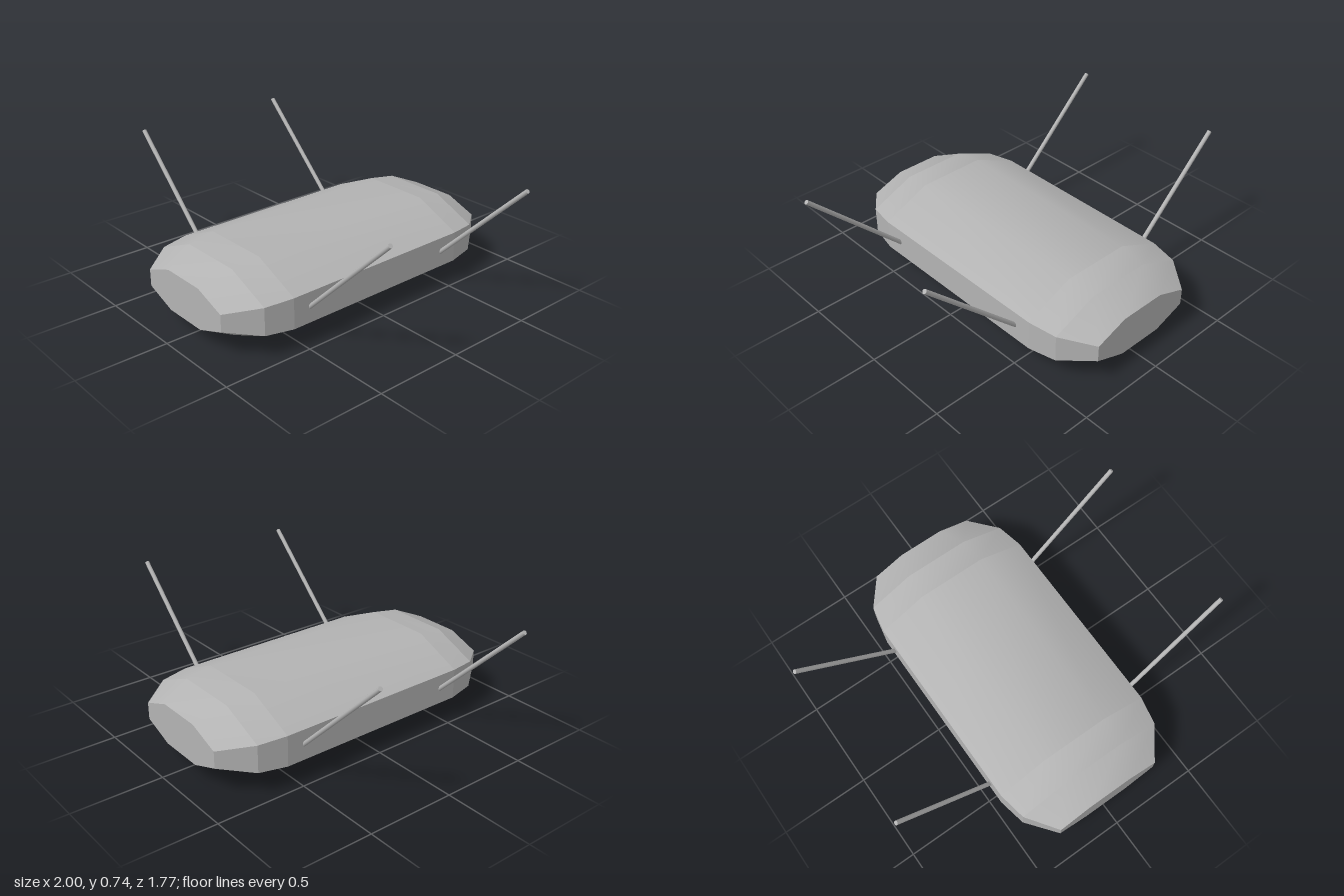
import * as THREE from 'three';

// z, width scale and height scale of each hull cross-section, back to front
const STATIONS = [
  [-0.885, 0.667, 0.555], [-0.72, 0.935, 0.895], [-0.565, 1, 1],
  [0.565, 1, 1], [0.72, 0.935, 0.895], [0.885, 0.667, 0.555],
];
const MID_Y = 0.207;
// octagonal section, counter-clockwise seen from the front
const SECTION = [
  [0.463, -0.085], [0.463, 0.085], [0.195, 0.205], [-0.195, 0.205],
  [-0.463, 0.085], [-0.463, -0.085], [-0.195, -0.205], [0.195, -0.205],
];
// strips of section points shaded as one surface
const STRIPS = {
  hullLeftSide: [0, 1], hullTop: [1, 2, 3, 4],
  hullRightSide: [4, 5], hullBottom: [5, 6, 7, 0],
};

function point(station, i) {
  const [z, w, h] = station;
  return [SECTION[i][0] * w, MID_Y + SECTION[i][1] * h, z];
}

// one run of facets between two neighbouring cross-sections
function stripGeometry(back, front, strip) {
  const positions = [], index = [];
  strip.forEach((i) => positions.push(...point(back, i), ...point(front, i)));
  for (let k = 0; k < strip.length - 1; k++) {
    const a = k * 2;
    index.push(a, a + 2, a + 3, a, a + 3, a + 1);
  }
  const g = new THREE.BufferGeometry();
  g.setAttribute('position', new THREE.Float32BufferAttribute(positions, 3));
  g.setIndex(index);
  g.computeVertexNormals();
  return g;
}

export function createModel() {
  const model = new THREE.Group();
  model.name = 'podWithRods';
  const grey = new THREE.MeshStandardMaterial({ color: 0xb3b3b3 });
  grey.name = 'grey';

  const add = (parent, geometry, name) => {
    const mesh = new THREE.Mesh(geometry, grey);
    mesh.name = name;
    parent.add(mesh);
    return mesh;
  };

  // hull: banded along its length, rounded across
  const hull = new THREE.Group();
  hull.name = 'hull';
  model.add(hull);
  for (let s = 0; s < STATIONS.length - 1; s++) {
    for (const [name, strip] of Object.entries(STRIPS)) {
      add(hull, stripGeometry(STATIONS[s], STATIONS[s + 1], strip), name);
    }
  }

  // flat end caps
  const end = STATIONS[STATIONS.length - 1];
  const outline = SECTION.map((_, i) => new THREE.Vector2(...point(end, i).slice(0, 2)));
  for (const side of [1, -1]) {
    const cap = add(hull, new THREE.ShapeGeometry(new THREE.Shape(outline)), side > 0 ? 'frontCap' : 'backCap');
    cap.position.z = side * end[0];
    if (side < 0) cap.rotation.y = Math.PI;
  }

  // four thin rods leaning outwards from the sides
  for (const x of [1, -1]) {
    for (const z of [0.462, -0.462]) {
      const foot = new THREE.Vector3(x * 0.45, 0.2, z);
      const tip = new THREE.Vector3(x * 0.991, 0.729, z);
      const axis = tip.clone().sub(foot);
      const rod = add(model, new THREE.CylinderGeometry(0.012, 0.012, axis.length(), 12),
        (z > 0 ? 'front' : 'back') + (x > 0 ? 'LeftRod' : 'RightRod'));
      rod.position.copy(foot).add(tip).multiplyScalar(0.5);
      rod.quaternion.setFromUnitVectors(new THREE.Vector3(0, 1, 0), axis.normalize());
    }
  }
  return model;
}
